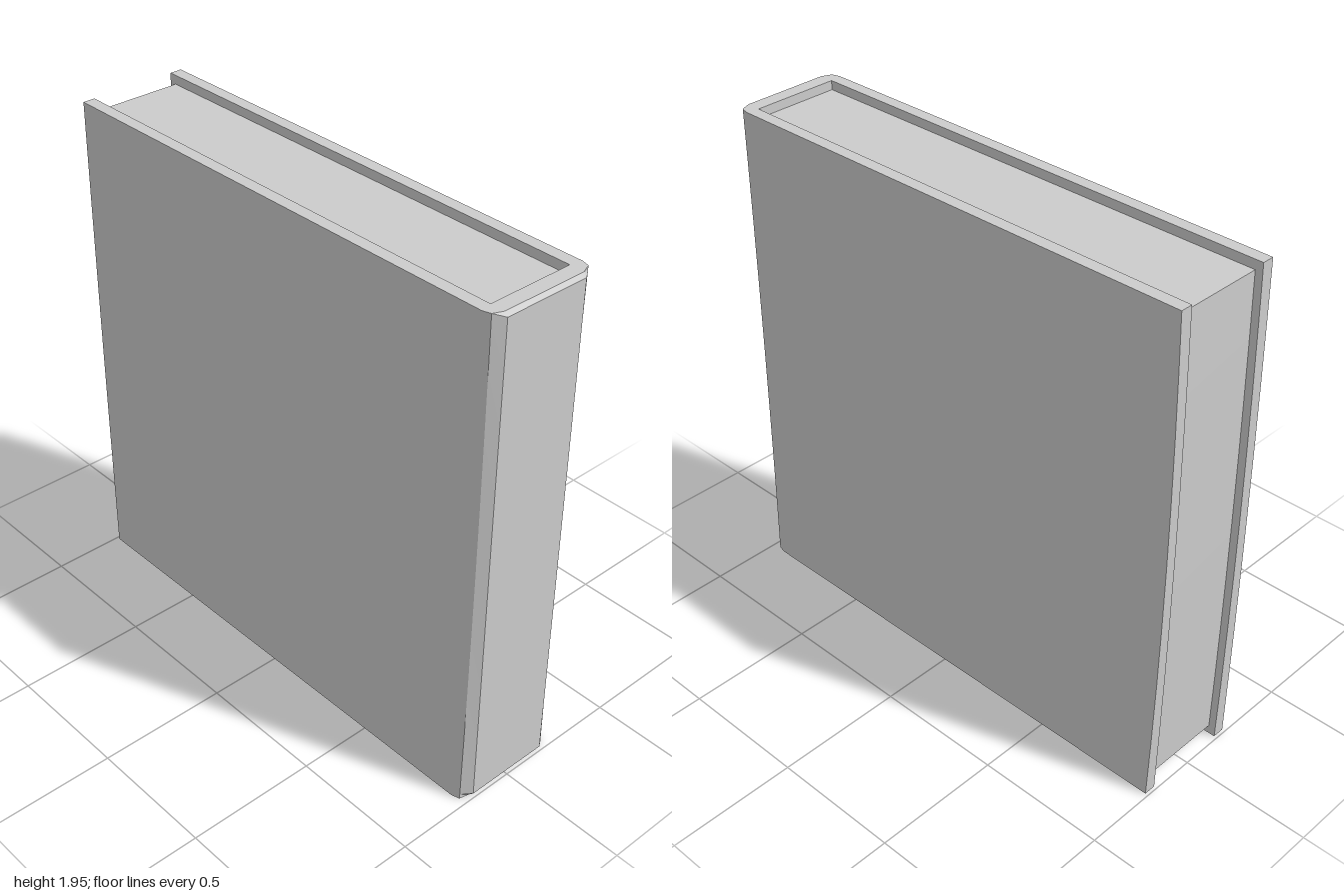
import * as THREE from 'three';
import { toCreasedNormals } from 'three/addons/utils/BufferGeometryUtils.js';

const HEIGHT = 1.95;
// heights of the cover's rings: thin end rings form the bevel of the spine
const RINGS = [0, 0.02, 0.25, 0.5, 0.75, 1, 1.25, 1.5, 1.75, 1.935, HEIGHT];

// 0 at the top and bottom ends, 1 at mid height
const bow = (y) => 1 - (2 * y / HEIGHT - 1) ** 2;

function deform(geometry, rule) {
  const p = geometry.attributes.position;
  const v = new THREE.Vector3();
  for (let i = 0; i < p.count; i++) {
    rule(v.fromBufferAttribute(p, i));
    p.setXYZ(i, v.x, v.y, v.z);
  }
  geometry.computeVertexNormals();
  return geometry;
}

export function createModel() {
  const group = new THREE.Group();
  const material = new THREE.MeshStandardMaterial({ color: 0xcccccc });

  // U-shaped cover: two boards joined by a spine with softened corners
  const half = [[0.17, -0.988], [0.217, -0.988], [0.217, 0.94], [0.208, 0.97], [0.17, 0.998]];
  const outer = [...half, ...half.map(([x, z]) => [-x, z]).reverse()];
  const outline = [...outer, [-0.17, 0.93], [0.17, 0.93]];
  const shape = new THREE.Shape(outline.map(([x, z]) => new THREE.Vector2(x, -z)));
  const steps = RINGS.length - 1;
  const coverGeometry = new THREE.ExtrudeGeometry(shape, { depth: steps, steps, bevelEnabled: false });
  coverGeometry.rotateX(-Math.PI / 2);
  deform(coverGeometry, (v) => {
    const ring = Math.round(v.y);
    v.y = RINGS[ring];
    // boards pinch slightly and their free edges bow outwards at mid height
    if (Math.abs(v.x) > 0.2) v.x -= Math.sign(v.x) * 0.006 * bow(v.y);
    if (v.z < -0.9) v.z -= 0.012 * bow(v.y);
    // bevel at both ends of the spine
    if (v.z > 0.98 && ring === 0) v.z -= 0.02;
    if (v.z > 0.98 && ring === steps) v.z -= 0.012;
  });
  const cover = new THREE.Mesh(toCreasedNormals(coverGeometry, 0.4), material);
  cover.name = 'cover';
  group.add(cover);

  // page block set back from the cover on its three open sides
  const pagesGeometry = new THREE.BoxGeometry(0.341, 1.88, 1.895, 1, 8, 1);
  pagesGeometry.translate(0, HEIGHT / 2, -0.0125);
  deform(pagesGeometry, (v) => {
    if (v.z < 0) v.z -= 0.01 * bow(v.y);
  });
  const pages = new THREE.Mesh(pagesGeometry, material);
  pages.name = 'pages';
  group.add(pages);

  return group;
}
